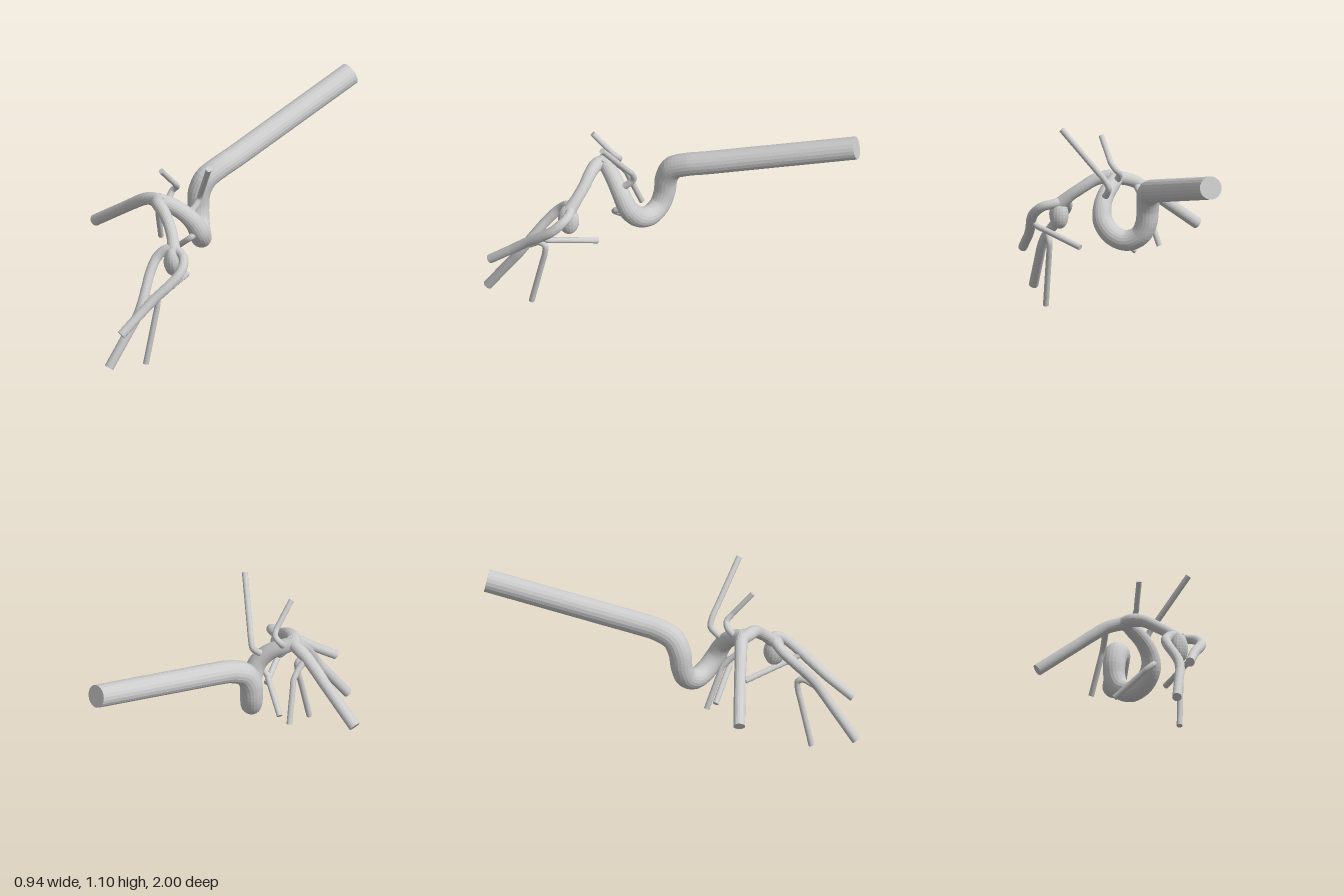
import * as THREE from 'three';

const SIDES = 20;
const material = new THREE.MeshStandardMaterial({ color: 0xcccccc, flatShading: true });

// Capped tube through [x, y, z, radius] stations; the last span is kept straight.
function vessel(name, stations) {
  const pts = stations.map((s) => s.slice());
  const end = pts.pop();
  const before = pts[pts.length - 1];
  for (const f of [0.2, 0.6]) pts.push(end.map((v, k) => before[k] + (v - before[k]) * f));
  pts.push(end);

  const curve = new THREE.CatmullRomCurve3(
    pts.map((p) => new THREE.Vector3(p[0], p[1], p[2])), false, 'centripetal');
  const rows = (pts.length - 1) * 5;
  const pos = [];
  const index = [];
  const normal = new THREE.Vector3(0.31, 0.42, 0.85);
  const side = new THREE.Vector3();
  const v = new THREE.Vector3();

  for (let i = 0; i <= rows; i++) {
    const t = i / rows;
    const c = curve.getPoint(t);
    const tangent = curve.getTangent(t);
    // carry the ring orientation along without twisting
    normal.addScaledVector(tangent, -normal.dot(tangent)).normalize();
    side.crossVectors(tangent, normal);
    const f = t * (pts.length - 1);
    const k = Math.min(Math.floor(f), pts.length - 2);
    const r = THREE.MathUtils.lerp(pts[k][3], pts[k + 1][3], f - k);
    for (let j = 0; j < SIDES; j++) {
      const a = (j / SIDES) * Math.PI * 2;
      v.copy(c).addScaledVector(normal, Math.cos(a) * r).addScaledVector(side, Math.sin(a) * r);
      pos.push(v.x, v.y, v.z);
    }
  }
  for (let i = 0; i < rows; i++) {
    for (let j = 0; j < SIDES; j++) {
      const a = i * SIDES + j;
      const b = i * SIDES + ((j + 1) % SIDES);
      index.push(a, b, a + SIDES, b, b + SIDES, a + SIDES);
    }
  }
  // end caps
  const last = rows * SIDES;
  for (let j = 1; j < SIDES - 1; j++) {
    index.push(0, j + 1, j, last, last + j, last + j + 1);
  }
  const g = new THREE.BufferGeometry();
  g.setAttribute('position', new THREE.Float32BufferAttribute(pos, 3));
  g.setIndex(index);
  g.computeVertexNormals();
  const mesh = new THREE.Mesh(g, material);
  mesh.name = name;
  return mesh;
}

// Irregular rounded sac
function sac(name, center, radii, tilt) {
  const g = new THREE.SphereGeometry(1, 18, 14);
  const p = g.attributes.position;
  for (let i = 0; i < p.count; i++) {
    const x = p.getX(i), y = p.getY(i), z = p.getZ(i);
    const k = 1 + 0.04 * Math.sin(4 * x + 2 * y) * Math.cos(3 * z - y);
    p.setXYZ(i, x * k * radii[0], y * k * radii[1], z * k * radii[2]);
  }
  g.computeVertexNormals();
  const mesh = new THREE.Mesh(g, material);
  mesh.position.set(...center);
  mesh.rotation.x = tilt;
  mesh.name = name;
  return mesh;
}

export function createModel() {
  const model = new THREE.Group();
  model.name = 'arteryTree';

  // Thick trunk, run from the loop back to its straight rear end
  model.add(vessel('trunkArtery', [
    [0.02, 0.785, 0.41, 0.037], [0.06, 0.76, 0.365, 0.043], [0.115, 0.715, 0.31, 0.046],
    [0.15, 0.655, 0.265, 0.05], [0.155, 0.585, 0.23, 0.055], [0.115, 0.52, 0.185, 0.057],
    [0.05, 0.495, 0.14, 0.057], [-0.015, 0.53, 0.1, 0.057], [-0.045, 0.6, 0.082, 0.059],
    [-0.05, 0.69, 0.072, 0.062], [-0.042, 0.765, 0.035, 0.064], [-0.032, 0.81, -0.05, 0.063],
    [-0.033, 0.837, -0.15, 0.063], [-0.09, 1.05, -0.985, 0.063],
  ]));

  // Two main branches of the fork
  model.add(vessel('rightMainBranch', [
    [0.06, 0.78, 0.415, 0.036], [0, 0.777, 0.405, 0.036], [-0.08, 0.75, 0.415, 0.034],
    [-0.16, 0.695, 0.428, 0.033], [-0.22, 0.65, 0.436, 0.032], [-0.452, 0.475, 0.476, 0.032],
  ]));
  model.add(vessel('leftMainBranch', [
    [0, 0.775, 0.4, 0.036], [0.06, 0.783, 0.435, 0.037], [0.13, 0.768, 0.452, 0.034],
    [0.2, 0.725, 0.468, 0.032], [0.26, 0.68, 0.492, 0.032], [0.32, 0.62, 0.525, 0.038],
  ]));

  // Bulge hanging at the second fork
  model.add(sac('aneurysmSac', [0.318, 0.572, 0.525], [0.052, 0.085, 0.058], 0.1));

  // Branches beyond the sac
  model.add(vessel('innerForwardBranch', [
    [0.315, 0.645, 0.515, 0.026], [0.272, 0.632, 0.545, 0.028], [0.25, 0.59, 0.59, 0.027],
    [0.265, 0.53, 0.645, 0.027], [0.297, 0.46, 0.7, 0.027], [0.325, 0.39, 0.75, 0.027],
    [0.335, 0.32, 0.795, 0.026], [0.325, 0.068, 0.975, 0.026],
  ]));
  model.add(vessel('outerForwardBranch', [
    [0.31, 0.64, 0.515, 0.026], [0.36, 0.632, 0.51, 0.025], [0.41, 0.615, 0.53, 0.026],
    [0.441, 0.57, 0.58, 0.027], [0.436, 0.515, 0.65, 0.028], [0.415, 0.45, 0.735, 0.027],
    [0.404, 0.39, 0.81, 0.026], [0.395, 0.29, 0.945, 0.025],
  ]));

  // Thin side branches
  const twigs = {
    downwardTwig: [
      [0.33, 0.36, 0.77, 0.016], [0.327, 0.385, 0.725, 0.017], [0.328, 0.405, 0.685, 0.018],
      [0.332, 0.39, 0.652, 0.017], [0.333, 0.34, 0.652, 0.016], [0.33, 0.012, 0.727, 0.016],
    ],
    backwardTwig: [
      [0.432, 0.515, 0.66, 0.016], [0.412, 0.487, 0.615, 0.016], [0.24, 0.412, 0.38, 0.016],
    ],
    longUpperTwig: [
      [0.135, 0.7, 0.29, 0.02], [0.132, 0.735, 0.24, 0.018], [0.13, 0.775, 0.208, 0.017],
      [0.15, 0.82, 0.212, 0.016], [0.363, 1.095, 0.322, 0.016],
    ],
    shortUpperTwig: [
      [0.045, 0.77, 0.36, 0.02], [0.035, 0.82, 0.32, 0.017], [0.06, 0.85, 0.31, 0.016],
      [0.08, 0.885, 0.337, 0.015], [0.1, 1.01, 0.447, 0.015],
    ],
    rightLowerTwig: [
      [-0.085, 0.74, 0.412, 0.02], [-0.092, 0.7, 0.36, 0.017], [-0.105, 0.65, 0.315, 0.016],
      [-0.168, 0.425, 0.243, 0.0155],
    ],
    loopLowerTwig: [
      [0.16, 0.6, 0.24, 0.018], [0.172, 0.583, 0.295, 0.017], [0.14, 0.55, 0.312, 0.016],
      [-0.042, 0.398, 0.268, 0.016],
    ],
  };
  for (const [name, stations] of Object.entries(twigs)) model.add(vessel(name, stations));

  return model;
}
